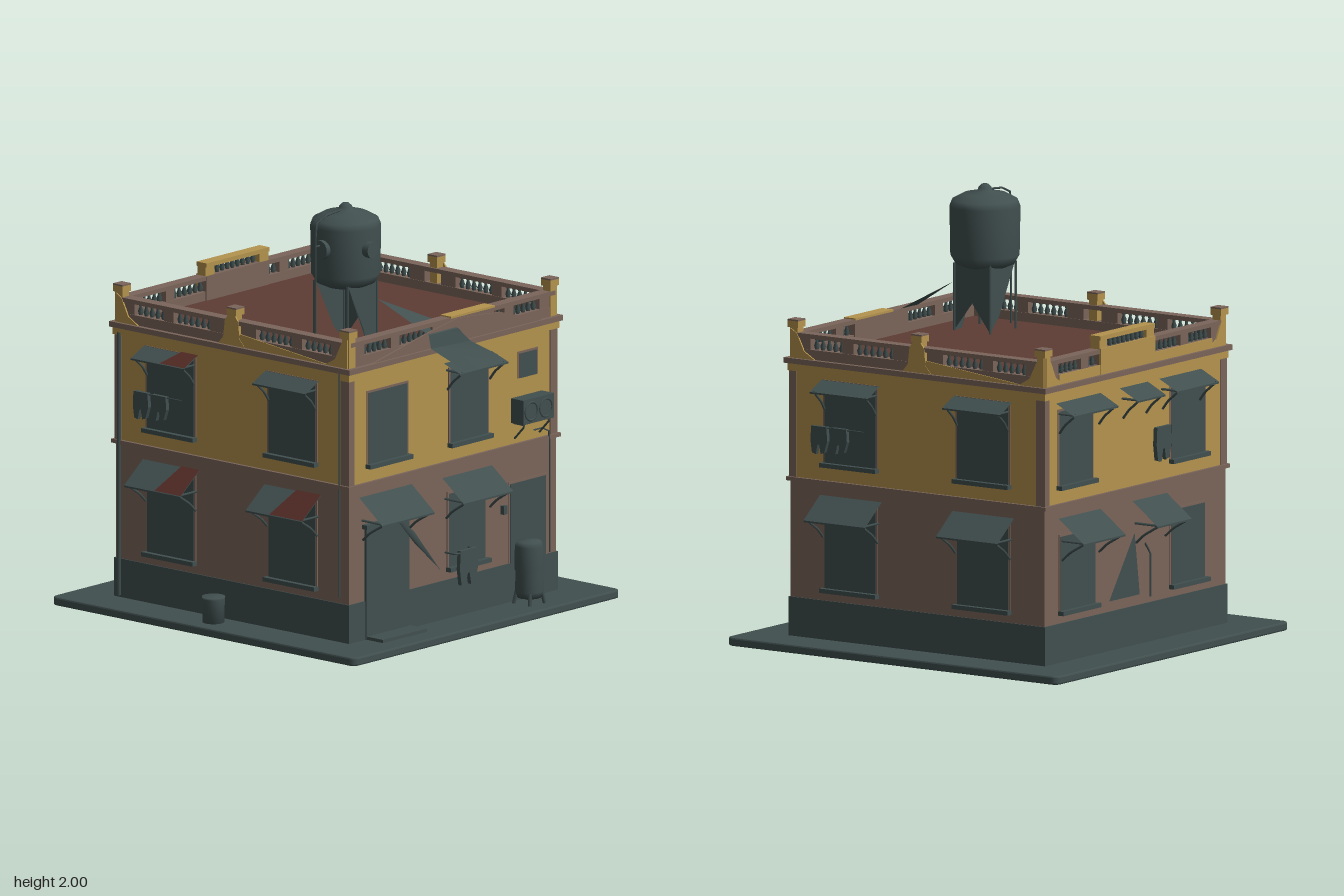
import * as THREE from 'three';

const mat = (name, color, side = THREE.FrontSide) => {
  const m = new THREE.MeshStandardMaterial({ color, side });
  m.name = name;
  return m;
};

export function createModel() {
  const grey = mat('slate grey', 0x414f4f, THREE.DoubleSide);
  const yellow = mat('ochre plaster', 0xb4934e);
  const brown = mat('brown plaster', 0x7a655a);
  const roofRed = mat('roof red', 0x5e3d35);
  const rust = mat('rust red', 0x542b25, THREE.DoubleSide);
  const model = new THREE.Group();
  const D = 0.71; // wall distance from the centre

  const add = (parent, name, geo, m, x = 0, y = 0, z = 0) => {
    const mesh = new THREE.Mesh(geo, m);
    mesh.name = name;
    mesh.position.set(x, y, z);
    parent.add(mesh);
    return mesh;
  };
  // box given by its limits
  const box = (p, name, m, x0, x1, y0, y1, z0, z1) =>
    add(p, name, new THREE.BoxGeometry(x1 - x0, y1 - y0, z1 - z0), m, (x0 + x1) / 2, (y0 + y1) / 2, (z0 + z1) / 2);
  const tube = (p, name, pts, r = 0.006, m = grey) => {
    const path = new THREE.CurvePath();
    for (let i = 1; i < pts.length; i++)
      path.add(new THREE.LineCurve3(new THREE.Vector3(...pts[i - 1]), new THREE.Vector3(...pts[i])));
    add(p, name, new THREE.TubeGeometry(path, (pts.length - 1) * 4, r, 5), m);
  };
  // flat sheet as a fan around its first corner
  const sheet = (p, name, pts, m = grey) => {
    const g = new THREE.BufferGeometry().setFromPoints(pts.map(q => new THREE.Vector3(...q)));
    const idx = [];
    for (let i = 2; i < pts.length; i++) idx.push(0, i - 1, i);
    g.setIndex(idx);
    g.computeVertexNormals();
    add(p, name, g, m);
  };
  // upright plate cut from an outline
  const plate = (p, name, pts, depth, m, x, y, z) =>
    add(p, name, new THREE.ExtrudeGeometry(new THREE.Shape(pts.map(q => new THREE.Vector2(...q))), { depth, bevelEnabled: false }), m, x, y, z);
  const lathe = (p, name, pts, m, x, y, z, n = 24) =>
    add(p, name, new THREE.LatheGeometry(pts.map(q => new THREE.Vector2(...q)), n), m, x, y, z);

  // pavement with rounded corners and edges
  const W = 0.915, L = 0.925, R = 0.035;
  const ground = new THREE.Shape();
  ground.absarc(W - R, L - R, R, 0, Math.PI / 2);
  ground.absarc(R - W, L - R, R, Math.PI / 2, Math.PI);
  ground.absarc(R - W, R - L, R, Math.PI, Math.PI * 1.5);
  ground.absarc(W - R, R - L, R, Math.PI * 1.5, Math.PI * 2);
  const slab = new THREE.ExtrudeGeometry(ground, { depth: 0.024, bevelThickness: 0.008, bevelSize: 0.008, bevelOffset: -0.008, bevelSegments: 2, curveSegments: 5 });
  add(model, 'pavement', slab, grey, 0, 0.008, 0).rotation.x = -Math.PI / 2;

  // main body
  box(model, 'plinth', grey, -D - 0.006, D + 0.006, 0.04, 0.22, -D - 0.006, D + 0.006);
  box(model, 'lowerStorey', brown, -D, D, 0.22, 0.76, -D, D);
  box(model, 'floorBand', brown, -D - 0.015, D + 0.015, 0.757, 0.775, -D - 0.015, D + 0.015);
  box(model, 'upperStorey', yellow, -D, D, 0.775, 1.28, -D, D);
  box(model, 'corniceLower', yellow, -0.72, 0.72, 1.265, 1.3, -0.72, 0.72);
  box(model, 'cornice', brown, -0.732, 0.732, 1.3, 1.325, -0.732, 0.732);
  box(model, 'roofDeck', roofRed, -0.66, 0.66, 1.3, 1.328, -0.66, 0.66);

  // four sides, each built facing local +z
  const sides = ['front', 'right', 'back', 'left'].map((name, i) => {
    const g = new THREE.Group();
    g.name = name + 'Side';
    g.rotation.y = i * Math.PI / 2;
    model.add(g);
    return g;
  });
  const [front, right, back, left] = sides;

  // parapet with balusters, posts and sloped corner shoulders
  const balusterProfile = [[0.008, 0], [0.013, 0.02], [0.006, 0.04], [0.01, 0.055]];
  const balusters = (p, x0, x1, y) => {
    const n = Math.round((x1 - x0) / 0.034);
    for (let i = 0; i <= n; i++)
      lathe(p, 'baluster', balusterProfile, grey, x0 + (x1 - x0) * i / n, y, 0.685, 8);
  };
  const post = (p, x, z) => {
    box(p, 'post', yellow, x - 0.022, x + 0.022, 1.32, 1.47, z - 0.022, z + 0.022);
    box(p, 'postCap', yellow, x - 0.029, x + 0.029, 1.465, 1.495, z - 0.029, z + 0.029);
    box(p, 'postCapTop', brown, x - 0.029, x + 0.029, 1.495, 1.502, z - 0.029, z + 0.029);
  };
  sides.forEach((s, i) => {
    box(s, 'parapetBase', brown, -0.7, 0.7, 1.32, 1.37, 0.66, 0.71);
    box(s, 'parapetRail', brown, -0.7, 0.7, 1.422, 1.442, 0.657, 0.714);
    for (const k of [-1, 1]) {
      for (const [a, b] of [[0.05, 0.14], [0.36, 0.42], [0.6, 0.69]])
        box(s, 'parapetPanel', brown, k * (a + b) / 2 - (b - a) / 2, k * (a + b) / 2 + (b - a) / 2, 1.365, 1.425, 0.663, 0.707);
      balusters(s, k > 0 ? 0.16 : -0.34, k > 0 ? 0.34 : -0.16, 1.368);
      balusters(s, k > 0 ? 0.44 : -0.58, k > 0 ? 0.58 : -0.44, 1.368);
      box(s, 'cornerStrip', brown, k > 0 ? 0.665 : -D - 0.004, k > 0 ? D + 0.004 : -0.675, 0.775, 1.265, D - 0.002, D + 0.004);
      if (s !== front) {
        const shoulder = [[0.57, 1.325], [0.705, 1.325], [0.705, 1.46], [0.67, 1.44], [0.63, 1.36]].map(([x, y]) => [k * x, y]);
        plate(s, 'cornerShoulder', shoulder, 0.008, yellow, 0, 0, 0.709);
      }
    }
    post(s, 0.69, 0.69);
    if (i % 2) {
      post(s, 0, 0.69);
      plate(s, 'postShoulder', [[-0.08, 1.325], [0.08, 1.325], [0.05, 1.36], [0.04, 1.44], [0.02, 1.465], [-0.02, 1.465], [-0.04, 1.44], [-0.05, 1.36]],
        0.008, yellow, 0, 0, 0.709);
      plate(s, 'parapetWedge', [[0.04, 1.325], [0.6, 1.325], [0.04, 1.385]], 0.006, yellow, 0, 0, 0.709);
    }
  });
  // sloping plaster on the front parapet
  plate(front, 'parapetSlope', [[-0.55, 1.325], [0.6, 1.325], [0.32, 1.41], [0.03, 1.435], [-0.18, 1.4]], 0.01, brown, 0, 0, 0.71);
  box(front, 'middlePanel', brown, -0.14, 0.28, 1.325, 1.44, 0.656, 0.712);
  box(front, 'middleCap', yellow, -0.02, 0.28, 1.438, 1.448, 0.654, 0.718);
  // raised balustrade at the back
  box(back, 'parapetBand', yellow, -0.6, 0.6, 1.325, 1.37, 0.708, 0.716);
  box(back, 'middlePanel', brown, -0.28, 0.15, 1.325, 1.44, 0.656, 0.71);
  box(back, 'middleFace', yellow, -0.28, 0.15, 1.325, 1.446, 0.708, 0.718);
  balusters(back, -0.2, 0.08, 1.442);
  for (const x of [-0.25, 0.12]) box(back, 'raisedEnd', yellow, x - 0.03, x + 0.03, 1.44, 1.485, 0.66, 0.71);
  box(back, 'raisedRail', yellow, -0.28, 0.15, 1.483, 1.503, 0.655, 0.715);

  // windows, awnings and laundry
  const windowAt = (s, x0, x1, y0, y1, sill = true) => {
    box(s, 'windowFrame', brown, x0 - 0.01, x1 + 0.01, y0, y1 + 0.01, D - 0.01, D + 0.004);
    box(s, 'windowPane', grey, x0, x1, y0, y1, D, D + 0.006);
    if (sill) box(s, 'sill', grey, x0 - 0.015, x1 + 0.015, y0 - 0.012, y0 + 0.008, D, D + 0.03);
  };
  const awning = (s, x0, x1, yTop, yLow, reach) => {
    const z1 = D + reach;
    sheet(s, 'awning', [[x0, yTop, D], [x0, yLow, z1], [x1, yLow, z1], [x1, yTop, D]]);
    sheet(s, 'awningLip', [[x0, yLow, z1], [x0, yLow - 0.008, z1], [x1, yLow - 0.008, z1], [x1, yLow, z1]]);
    for (const x of [x0 + 0.02, x1 - 0.02])
      tube(s, 'bracket', [[x, yLow - 0.09, D + 0.005], [x, yLow - 0.05, D + reach * 0.35], [x, yLow, z1 - 0.005], [x, yLow, D]], 0.006);
  };
  const rustPatch = (s, x0, x1, yTop, yLow, reach) => sheet(s, 'rustPatch',
    [[x1, yTop + 0.004, D], [x0 + 0.05, yTop + 0.004, D], [x0, yLow + 0.004, D + reach], [x1, yLow + 0.004, D + reach]], rust);
  const trousers = [[-0.5, 0], [-0.55, -0.5], [-0.45, -0.95], [-0.2, -1], [-0.08, -0.65], [0.02, -0.62], [0.12, -0.97], [0.35, -0.92], [0.55, -0.5], [0.5, 0]];
  const garment = (s, x, y, z, w, h) =>
    plate(s, 'laundry', trousers.map(([a, b]) => [a * w, b * h]), 0.02, grey, x, y, z - 0.01);

  // front
  windowAt(front, -0.58, -0.315, 0.85, 1.19);
  windowAt(front, -0.02, 0.235, 0.85, 1.2);
  awning(front, -0.06, 0.27, 1.235, 1.2, 0.1);
  windowAt(front, -0.03, 0.22, 0.27, 0.62);
  awning(front, -0.07, 0.27, 0.7, 0.6, 0.13);
  windowAt(front, 0.39, 0.635, 0.22, 0.59, false);
  box(front, 'door', grey, -0.605, -0.31, 0.04, 0.57, D, D + 0.012);
  box(front, 'doorLintel', grey, -0.62, -0.295, 0.56, 0.58, D, D + 0.03);
  box(front, 'doorstep', grey, -0.6, -0.3, 0.04, 0.055, D, 0.82);
  awning(front, -0.64, -0.28, 0.71, 0.6, 0.14);
  sheet(front, 'tornAwning', [[-0.5, 0.61, 0.8], [-0.28, 0.44, D + 0.012], [-0.1, 0.28, D + 0.012], [-0.3, 0.5, 0.74]]);
  windowAt(front, 0.455, 0.57, 1.075, 1.19, false);
  box(front, 'meter', grey, 0.33, 0.355, 0.46, 0.5, D, D + 0.02);
  garment(front, 0.035, 0.36, 0.77, 0.115, 0.17);
  tube(front, 'laundryRail', [[-0.05, 0.35, D], [-0.05, 0.35, 0.775], [0.1, 0.35, 0.775], [0.1, 0.35, D]], 0.005);
  box(front, 'airUnit', grey, 0.4, 0.61, 0.875, 0.99, D, 0.785);
  for (const x of [0.455, 0.555]) add(front, 'fan', new THREE.TorusGeometry(0.042, 0.005, 6, 20), grey, x, 0.932, 0.786);
  for (const x of [0.42, 0.59]) tube(front, 'airUnitBracket', [[x, 0.8, D + 0.004], [x, 0.87, 0.78], [x, 0.87, D]], 0.005);
  tube(front, 'drainHose', [[0.54, 0.82, 0.725], [0.63, 0.82, 0.725], [0.65, 0.78, 0.725], [0.65, 0.23, 0.725]], 0.004);
  sheet(front, 'rustStain', [[0.48, 0.24, 0.723], [0.535, 0.24, 0.723], [0.525, 0.29, 0.723], [0.49, 0.3, 0.723]], rust);

  // right and left
  for (const s of [right, left]) {
    for (const x of [-0.515, 0.225]) {
      windowAt(s, x, x + 0.285, 0.85, 1.23);
      windowAt(s, x, x + 0.285, 0.27, 0.69);
      awning(s, x - 0.03, x + 0.315, 0.705, 0.605, 0.13);
      awning(s, x - 0.02, x + 0.305, 1.24, 1.195, 0.095);
    }
    garment(s, -0.52, 1.03, 0.745, 0.085, 0.13);
    garment(s, -0.41, 1.03, 0.745, 0.085, 0.12);
    tube(s, 'clothesline', [[-0.56, 1.025, 0.745], [-0.28, 1.025, 0.745]], 0.004);
  }
  rustPatch(left, -0.36, -0.2, 0.705, 0.605, 0.13);
  rustPatch(left, 0.34, 0.54, 0.705, 0.605, 0.13);
  rustPatch(left, -0.36, -0.21, 1.24, 1.195, 0.095);
  tube(left, 'downpipe', [[-0.68, 0.05, 0.722], [-0.68, 1.28, 0.722]], 0.01);
  tube(left, 'wallPipe', [[0.66, 0.25, 0.72], [0.66, 1.3, 0.72]], 0.005);

  // back
  windowAt(back, -0.6, -0.34, 0.85, 1.2);
  windowAt(back, 0.28, 0.54, 0.85, 1.2);
  windowAt(back, -0.59, -0.32, 0.27, 0.62);
  windowAt(back, 0.28, 0.54, 0.27, 0.62);
  awning(back, -0.62, -0.27, 1.24, 1.19, 0.1);
  awning(back, -0.12, 0.1, 1.24, 1.19, 0.1);
  awning(back, 0.19, 0.52, 1.24, 1.19, 0.1);
  awning(back, -0.6, -0.27, 0.705, 0.6, 0.14);
  awning(back, -0.02, 0.25, 0.705, 0.6, 0.14);
  sheet(back, 'leaningSheet', [[-0.02, 0.56, D + 0.012], [-0.22, 0.27, D + 0.012], [0.02, 0.27, D + 0.012]]);
  garment(back, 0.16, 1.03, 0.75, 0.11, 0.16);
  tube(back, 'hose', [[0.1, 0.25, 0.725], [0.1, 0.45, 0.725], [0.06, 0.5, 0.725]], 0.005);

  // water tank on the roof
  const tank = new THREE.Group();
  tank.name = 'waterTank';
  tank.position.set(-0.395, 0, 0.41);
  model.add(tank);
  lathe(tank, 'tankBody', [[0, 1.61], [0.09, 1.615], [0.135, 1.635], [0.158, 1.675], [0.162, 1.9], [0.15, 1.93], [0.1, 1.957], [0.035, 1.968],
    [0.03, 1.985], [0.015, 2], [0, 2]], grey, 0, 0, 0, 32);
  const frontHatch = add(tank, 'frontHatch', new THREE.CylinderGeometry(0.038, 0.038, 0.05, 16), grey, -0.02, 1.81, 0.16);
  frontHatch.rotation.x = Math.PI / 2;
  const sideHatch = add(tank, 'sideHatch', new THREE.CylinderGeometry(0.045, 0.045, 0.04, 16), grey, -0.16, 1.81, 0);
  sideHatch.rotation.z = Math.PI / 2;
  const a = 0.1;
  for (const [x, z] of [[a, a], [a, -a], [-a, -a], [-a, a]])
    tube(tank, 'tankLeg', [[x, 1.325, z], [x, 1.64, z]], 0.007);
  sheet(tank, 'frontStand', [[-a, 1.65, a], [0.01, 1.42, a], [0.04, 1.33, a], [a, 1.33, a], [a, 1.65, a]]);
  sheet(tank, 'sideStand', [[a, 1.65, a], [a, 1.33, a], [a, 1.46, 0], [a, 1.33, -a], [a, 1.65, -a]]);
  sheet(tank, 'backStand', [[-a, 1.65, -a], [0.03, 1.4, -a], [a, 1.33, -a], [a, 1.65, -a]]);
  tube(tank, 'feedPipe', [[-0.205, 1.325, 0], [-0.205, 1.93, 0], [-0.17, 1.96, 0], [0, 1.975, 0]], 0.005);
  tube(tank, 'outletPipe', [[-0.205, 1.83, 0], [-0.15, 1.83, 0]], 0.005);

  // loose sheet draped from the tank over the parapet
  sheet(model, 'drapeTop', [[-0.3, 1.55, 0.52], [-0.18, 1.39, 0.725], [0.02, 1.39, 0.725]]);
  sheet(model, 'drapeFront', [[-0.18, 1.33, 0.738], [-0.03, 1.21, 0.81], [0.24, 1.19, 0.81], [0.24, 1.235, 0.77], [0.09, 1.32, 0.738]]);
  sheet(model, 'drapeFold', [[-0.18, 1.39, 0.725], [-0.18, 1.33, 0.738], [0.09, 1.32, 0.738], [0.02, 1.39, 0.725]]);

  // barrel and bucket on the pavement
  lathe(model, 'barrel', [[0, 0.07], [0.055, 0.07], [0.066, 0.1], [0.062, 0.19], [0.068, 0.2], [0.066, 0.31], [0.055, 0.332], [0, 0.338]], grey, 0.43, 0, 0.795);
  for (let i = 0; i < 4; i++) {
    const t = Math.PI / 4 + i * Math.PI / 2;
    tube(model, 'barrelFoot', [[0.43 + 0.055 * Math.cos(t), 0.11, 0.795 + 0.055 * Math.sin(t)], [0.43 + 0.07 * Math.cos(t), 0.04, 0.795 + 0.07 * Math.sin(t)]], 0.009);
  }
  lathe(model, 'bucket', [[0, 0.04], [0.05, 0.04], [0.052, 0.15], [0.054, 0.16], [0, 0.162]], grey, -0.8, 0, -0.035, 20);
  return model;
}
